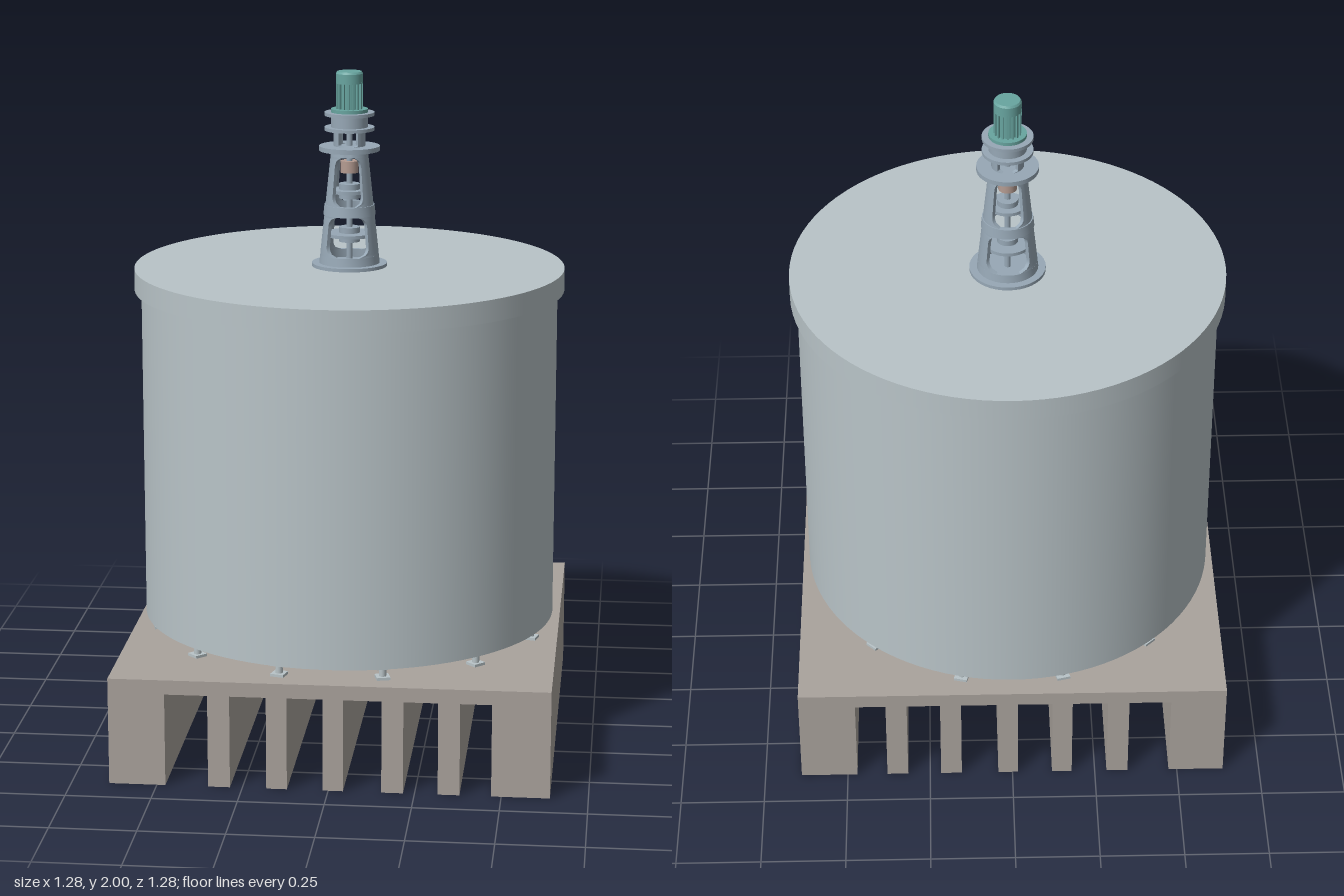
import * as THREE from 'three';
import { toCreasedNormals } from 'three/addons/utils/BufferGeometryUtils.js';

const mat = (name, color) => new THREE.MeshStandardMaterial({ name, color });

export function createModel() {
  const concrete = mat('concrete', 0xaaa39d);
  const tankSteel = mat('tankSteel', 0xb9c4c8);
  const driveSteel = mat('driveSteel', 0x97a8b6);
  const motorGreen = mat('motorGreen', 0x68a5a0);
  const bronze = mat('bronze', 0xb59c92);
  const model = new THREE.Group();
  model.name = 'agitatedTank';

  const add = (name, geometry, material, parent = model) => {
    const mesh = new THREE.Mesh(geometry, material);
    mesh.name = name;
    parent.add(mesh);
    return mesh;
  };
  const group = (name) => {
    const g = new THREE.Group();
    g.name = name;
    model.add(g);
    return g;
  };
  // Upright cylinder between two heights
  const disc = (name, y0, y1, r, material, parent, rTop = r, sides = 40) => {
    const mesh = add(name, new THREE.CylinderGeometry(rTop, r, y1 - y0, sides), material, parent);
    mesh.position.y = (y0 + y1) / 2;
    return mesh;
  };

  // Concrete plinth: slots run through from front to back
  const plinth = new THREE.Shape();
  plinth.moveTo(-0.64, 0);
  const slots = [[-0.475, -0.35], [-0.286, -0.18], [-0.12, -0.016],
    [0.043, 0.154], [0.217, 0.317], [0.38, 0.471]];
  for (const [a, b] of slots) {
    plinth.lineTo(a, 0);
    plinth.lineTo(a, 0.277);
    plinth.lineTo(b, 0.277);
    plinth.lineTo(b, 0);
  }
  plinth.lineTo(0.64, 0);
  plinth.lineTo(0.64, 0.32);
  plinth.lineTo(-0.64, 0.32);
  const plinthGeo = new THREE.ExtrudeGeometry(plinth, { depth: 1.28, bevelEnabled: false });
  plinthGeo.translate(0, 0, -0.64);
  add('plinth', plinthGeo, concrete);

  // Ring of twelve small feet under the tank
  const feet = group('feet');
  for (let i = 0; i < 12; i++) {
    const angle = (i + 0.5) * Math.PI / 6;
    const foot = new THREE.Group();
    foot.name = 'foot';
    foot.position.set(Math.cos(angle) * 0.58, 0, Math.sin(angle) * 0.58);
    foot.rotation.y = -angle;
    feet.add(foot);
    disc('footPost', 0.32, 0.36, 0.011, tankSteel, foot, 0.011, 12);
    for (const y of [0.324, 0.356]) {
      add('footPlate', new THREE.BoxGeometry(0.04, 0.008, 0.04), tankSteel, foot).position.y = y;
    }
  }

  // Tank and lid
  disc('tankBody', 0.36, 1.36, 0.62, tankSteel, model, 0.62, 96);
  disc('tankLid', 1.355, 1.42, 0.64, tankSteel, model, 0.64, 96);

  // Drive tower
  const tower = group('driveTower');
  const wall = 0.012;
  const radius = (y) => THREE.MathUtils.mapLinear(y, 1.43, 1.77, 0.09, 0.054);

  // Hollow ring of the tapered frame
  const ring = (name, y0, y1, bulge = 0) => {
    const a = radius(y0) + bulge, b = radius(y1) + bulge;
    const section = [[a, y0], [b, y1], [b - wall - bulge, y1], [a - wall - bulge, y0], [a, y0]];
    const geo = new THREE.LatheGeometry(section.map((p) => new THREE.Vector2(...p)), 40);
    add(name, toCreasedNormals(geo, 0.6), driveSteel, tower);
  };
  // Pair of curved side walls that leave a round-cornered window front and back
  const sideWalls = (name, y0, y1, radiusAt, ratio, corner) => {
    for (const side of [1, -1]) {
      const geo = new THREE.BoxGeometry(1, 1, 1, 12, 16, 1);
      const p = geo.attributes.position;
      for (let i = 0; i < p.count; i++) {
        const y = y0 + (p.getY(i) + 0.5) * (y1 - y0);
        const t = Math.min(1, Math.min(y - y0, y1 - y) / corner);
        const open = ratio * (0.55 + 0.45 * Math.sqrt(Math.max(0, 1 - (1 - t) ** 2)));
        const angle = side * Math.PI / 2 + p.getX(i) * 2 * Math.acos(open);
        const r = radiusAt(y) - (p.getZ(i) > 0 ? 0 : wall);
        p.setXYZ(i, Math.sin(angle) * r, y, Math.cos(angle) * r);
      }
      geo.computeVertexNormals();
      add(name, geo, driveSteel, tower);
    }
  };
  disc('baseFlange', 1.42, 1.43, 0.112, driveSteel, tower);
  ring('frameFoot', 1.43, 1.455);
  sideWalls('lowerFrameWall', 1.455, 1.575, radius, 0.74, 0.03);
  ring('frameMiddleBand', 1.575, 1.605, 0.003);
  sideWalls('upperFrameWall', 1.605, 1.75, radius, 0.66, 0.03);
  ring('frameHead', 1.75, 1.766);
  disc('frameFlange', 1.766, 1.78, 0.09, driveSteel, tower);

  // Shaft with couplings inside the frame
  disc('shaft', 1.42, 1.83, 0.009, driveSteel, tower, 0.009, 16);
  for (const y of [1.515, 1.645]) {
    disc('coupling', y - 0.022, y + 0.022, 0.031, driveSteel, tower, 0.031, 24);
    disc('couplingPlate', y - 0.005, y + 0.005, radius(y) - wall, driveSteel, tower);
  }
  disc('sealBush', 1.7, 1.735, 0.027, bronze, tower, 0.027, 24);

  // Lantern, bearing housing and its flanges
  sideWalls('lanternWall', 1.78, 1.826, () => 0.047, 0.62, 0.004);
  disc('lanternFlange', 1.826, 1.836, 0.074, driveSteel, tower);
  disc('gearHousing', 1.836, 1.87, 0.055, driveSteel, tower);
  disc('housingFlange', 1.87, 1.88, 0.074, driveSteel, tower);

  // Finned motor
  const motor = group('motor');
  disc('motorFlange', 1.88, 1.89, 0.055, motorGreen, motor);
  disc('motorCore', 1.89, 1.97, 0.033, motorGreen, motor);
  for (let i = 0; i < 16; i++) {
    const angle = i * Math.PI / 8;
    const fin = add('motorFin', new THREE.BoxGeometry(0.01, 0.08, 0.005), motorGreen, motor);
    fin.position.set(Math.cos(angle) * 0.035, 1.93, Math.sin(angle) * 0.035);
    fin.rotation.y = -angle;
  }
  disc('motorCap', 1.965, 1.994, 0.04, motorGreen, motor);
  disc('motorCapEdge', 1.994, 2, 0.04, motorGreen, motor, 0.036);

  return model;
}
